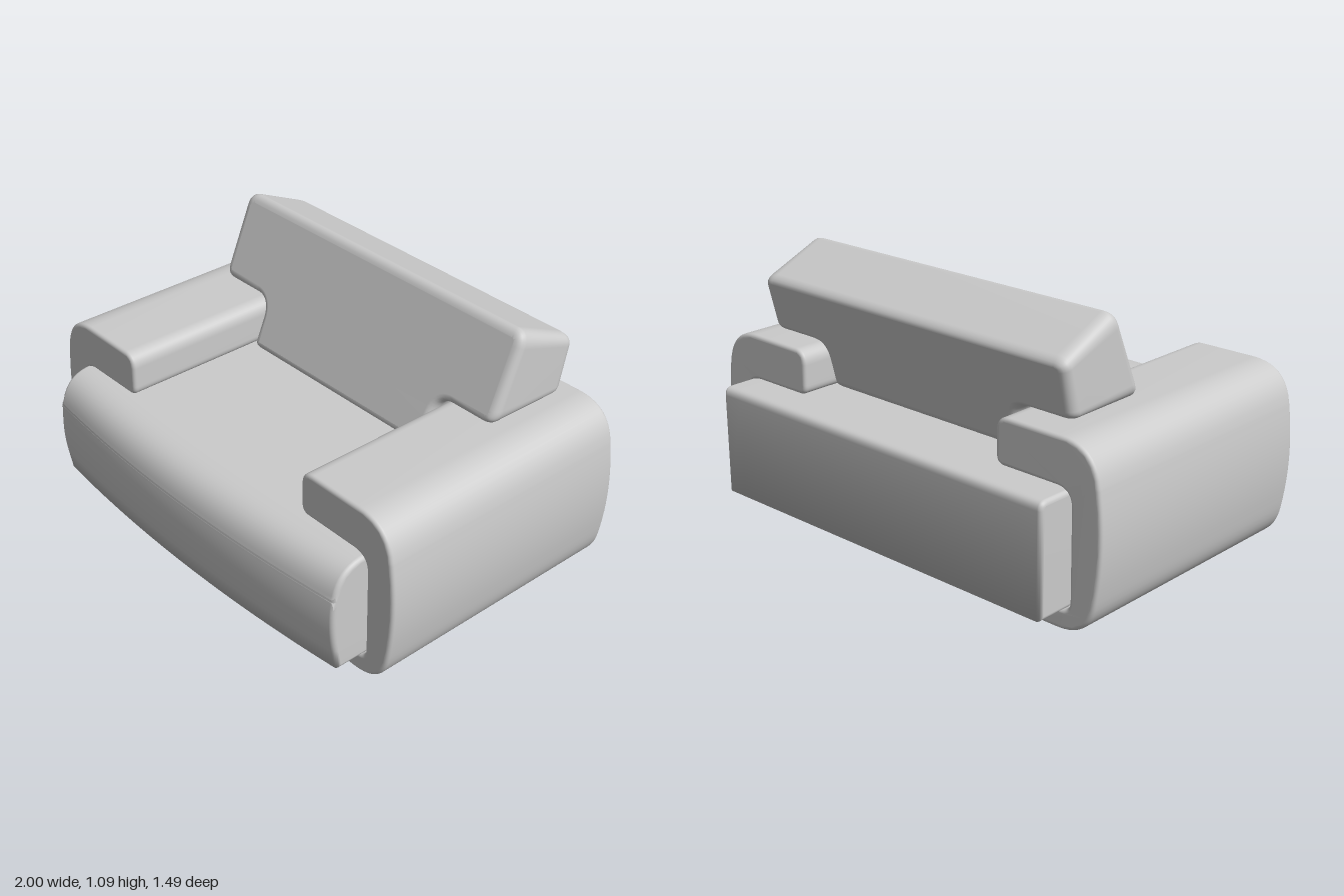
import * as THREE from 'three';
import { mergeVertices } from 'three/addons/utils/BufferGeometryUtils.js';

const material = new THREE.MeshStandardMaterial({ color: 0xcccccc });

// Closed outline from corners [x, y, rounding]
function roundedShape(corners) {
  const shape = new THREE.Shape();
  const n = corners.length;
  corners.forEach(([x, y, r], i) => {
    const toward = ([px, py]) => {
      const d = Math.hypot(px - x, py - y);
      return [x + (px - x) / d * r, y + (py - y) / d * r];
    };
    const a = toward(corners[(i + n - 1) % n]);
    const b = toward(corners[(i + 1) % n]);
    if (i === 0) shape.moveTo(...a); else shape.lineTo(...a);
    if (r > 0) shape.quadraticCurveTo(x, y, ...b);
  });
  shape.closePath();
  return shape;
}

// Extrusion from z0 to z1 with soft edges that stay inside the outline
function padded(corners, z0, z1, bevel, thickness = bevel, steps = 1) {
  const geometry = new THREE.ExtrudeGeometry(roundedShape(corners), {
    depth: z1 - z0 - 2 * thickness, steps, curveSegments: 10,
    bevelSize: bevel, bevelOffset: -bevel, bevelThickness: thickness, bevelSegments: 5,
  });
  return geometry.translate(0, 0, z0 + thickness);
}

// Move vertices by a rule, then share them for smooth, area-weighted normals
function soften(geometry, rule) {
  const p = geometry.attributes.position;
  if (rule) {
    for (let i = 0; i < p.count; i++) p.setXYZ(i, ...rule(p.getX(i), p.getY(i), p.getZ(i)));
  }
  geometry.deleteAttribute('uv');
  geometry.deleteAttribute('normal');
  const merged = mergeVertices(geometry, 1e-5);
  merged.computeVertexNormals();
  return merged;
}

function add(parent, name, geometry, x = 0, y = 0, z = 0) {
  const mesh = new THREE.Mesh(geometry, material);
  mesh.name = name;
  mesh.position.set(x, y, z);
  parent.add(mesh);
  return mesh;
}

function makeSeat() {
  // Side profile (z, y), run across the width with a bowed front
  const profile = [
    [-0.745, 0.095, 0], [0.715, 0.095, 0], [0.755, 0.30, 0.12],
    [0.715, 0.545, 0.14], [-0.745, 0.545, 0.035],
  ];
  const geometry = padded(profile, -0.85, 0.85, 0.018, 0.018, 20).rotateY(-Math.PI / 2);
  return soften(geometry, (x, y, z) =>
    [x, y, z - 0.05 * (x / 0.85) ** 2 * Math.max(0, z) / 0.745]);
}

function makeArm(side) {
  // Hooked front profile wrapping over and under the seat
  const profile = [
    [0.635, 0.006, 0.025], [0.95, 0.006, 0.15], [1.015, 0.38, 0.2], [0.96, 0.737, 0.15],
    [0.51, 0.735, 0.06], [0.51, 0.55, 0.04], [0.86, 0.55, 0.07],
    [0.86, 0.087, 0.04], [0.635, 0.087, 0.025],
  ].map(([x, y, r]) => [side * x, y, r]);
  return soften(padded(profile, -0.605, 0.547, 0.015));
}

function makeBackCushion() {
  // T-shaped front outline, notched to sit over the arms
  const half = [[0.505, 0.552, 0.04], [0.505, 0.747, 0.07], [0.79, 0.747, 0.055], [0.79, 1.085, 0.06]];
  const outline = [...half, ...half.map(([x, y, r]) => [-x, y, r]).reverse()];
  // Depth 0..1 is laid between the leaning front and back planes
  return soften(padded(outline, 0, 1, 0.035, 0.11), (x, y, depth) => {
    const t = 1 - depth;
    const rise = Math.max(0, y - 0.747) / 0.338;
    const h = y - 0.128 * (t - 0.15) * rise;
    const front = -0.13 - 0.43 * (h - 0.75);
    const back = -0.51 - 0.25 * (h - 0.75);
    return [x, h, THREE.MathUtils.lerp(front, back, t)];
  });
}

function makeRunner() {
  // Thin rail with casters under the seat
  const runner = new THREE.Group();
  add(runner, 'rail', new THREE.BoxGeometry(0.018, 0.016, 0.64), 0, 0.075, 0.19);
  add(runner, 'stopBlock', new THREE.BoxGeometry(0.045, 0.04, 0.04), 0, 0.076, 0.38);
  const wheel = new THREE.CylinderGeometry(0.027, 0.027, 0.018, 20).rotateZ(Math.PI / 2);
  for (const z of [0.5, -0.12]) {
    add(runner, 'casterPlate', new THREE.BoxGeometry(0.05, 0.025, 0.055), 0, 0.083, z);
    add(runner, 'casterFork', new THREE.BoxGeometry(0.018, 0.06, 0.03), 0, 0.05, z);
    for (const s of [-1, 1]) add(runner, 'casterWheel', wheel, s * 0.018, 0.027, z);
  }
  return runner;
}

export function createModel() {
  const sofa = new THREE.Group();
  sofa.name = 'sofa';
  add(sofa, 'seat', makeSeat());
  add(sofa, 'backCushion', makeBackCushion());
  for (const [side, label] of [[1, 'left'], [-1, 'right']]) {
    add(sofa, `${label}Arm`, makeArm(side));
    const runner = makeRunner();
    runner.name = `${label}Runner`;
    runner.position.x = side * 0.6;
    sofa.add(runner);
  }
  return sofa;
}
